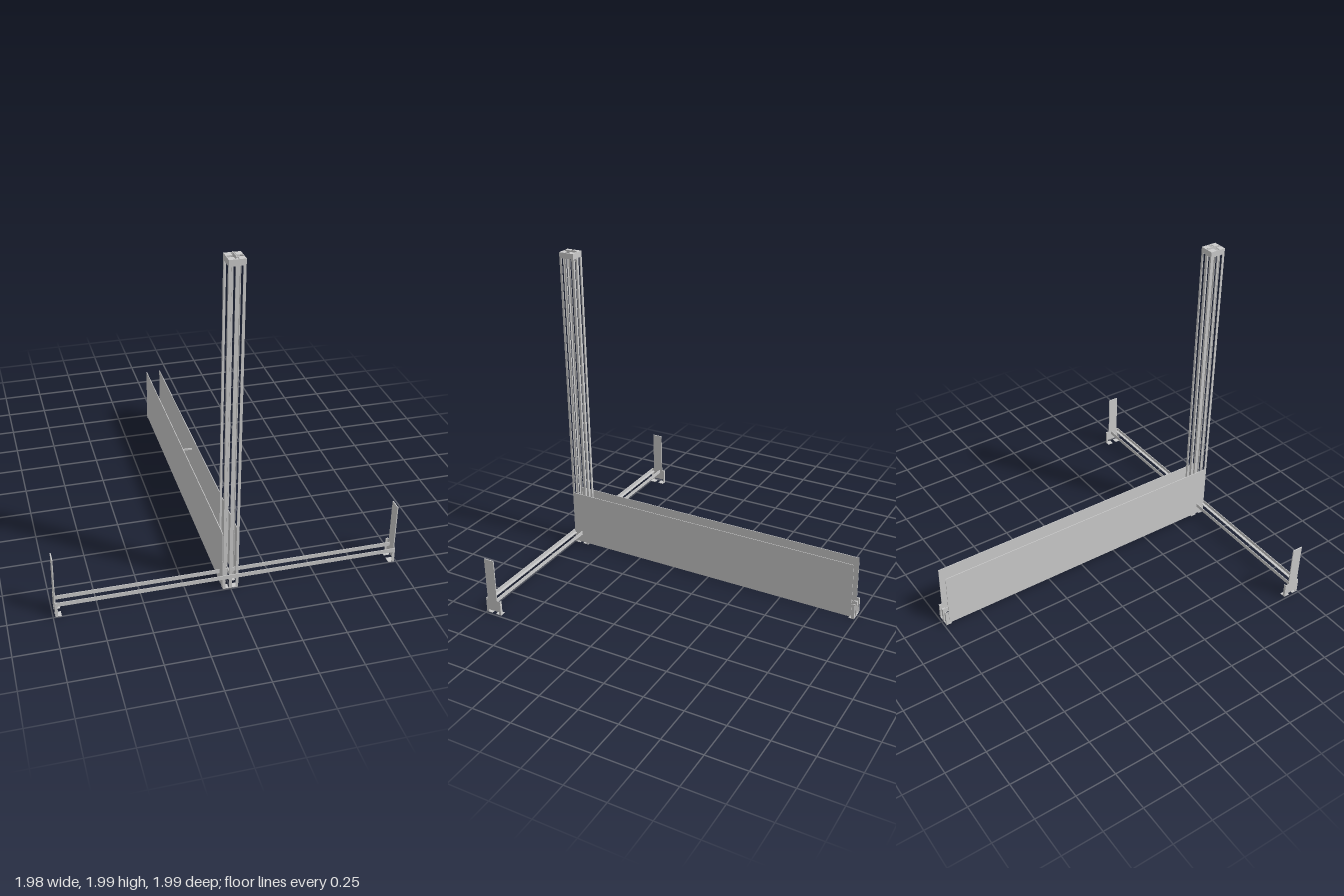
import * as THREE from 'three';

const T = 0.004; // sheet thickness
const material = new THREE.MeshStandardMaterial({ color: 0xcccccc });

// Box given by its minimum and maximum on each axis
function plate(parent, name, [x0, x1], [y0, y1], [z0, z1]) {
  const mesh = new THREE.Mesh(new THREE.BoxGeometry(x1 - x0, y1 - y0, z1 - z0), material);
  mesh.position.set((x0 + x1) / 2, (y0 + y1) / 2, (z0 + z1) / 2);
  mesh.name = name;
  parent.add(mesh);
}

// Range running from an edge inward; dir is the inward sign
const from = (edge, dir, size) => (dir > 0 ? [edge, edge + size] : [edge - size, edge]);

// Upright angle iron with its corner at (x, z) and flanges pointing along dx and dz
function angle(parent, name, x, z, dx, dz, y, fx = 0.015, fz = 0.015) {
  const group = new THREE.Group();
  group.name = name;
  plate(group, 'frontFlange', from(x, dx, fx), y, from(z, dz, T));
  plate(group, 'sideFlange', from(x, dx, T), y, from(z, dz, fz));
  parent.add(group);
}

export function createModel() {
  const model = new THREE.Group();
  model.name = 'towerFrame';

  // Mast: four corner angles, and two T posts in the middle of the front and back
  const mast = new THREE.Group();
  mast.name = 'mast';
  for (const [z, dz] of [[0.995, -1], [0.895, 1]]) {
    for (const s of [-1, 1]) {
      angle(mast, 'cornerPost', s * 0.045, z, -s, dz, [0, 1.985]);
      angle(mast, 'middlePost', 0, z, s, dz, [0, 1.985], 0.009);
      // cap and foot plates
      const depth = dz > 0 ? 0.04 : 0.035;
      plate(mast, 'capPlate', from(s * 0.045, -s, 0.035), [1.981, 1.985], from(z, dz, depth));
      plate(mast, 'footPlate', from(s * 0.045, -s, 0.035), [0, T], from(z, dz, depth));
    }
    plate(mast, 'capBand', [-0.045, 0.045], [1.95, 1.985], from(z, dz, T));
  }
  for (const s of [-1, 1])
    plate(mast, 'capSide', from(s * 0.045, -s, T), [1.95, 1.985], [0.895, 0.995]);
  plate(mast, 'capFin', [-0.002, 0.002], [1.95, 1.992], [0.9, 0.98]);
  model.add(mast);

  // Crossbar: front angle rail and thin back rail
  const crossbar = new THREE.Group();
  crossbar.name = 'crossbar';
  plate(crossbar, 'frontRail', [-0.985, 0.985], [0.07, 0.095], [0.996, 1]);
  plate(crossbar, 'frontRailFlange', [-0.985, 0.985], [0.07, 0.074], [0.98, 1]);
  plate(crossbar, 'backRail', [-0.985, 0.985], [0.07, 0.095], [0.934, 0.938]);
  model.add(crossbar);

  // Crossbar ends: bracket with feet and a tall end plate
  for (const s of [-1, 1]) {
    const end = new THREE.Group();
    end.name = s > 0 ? 'leftEnd' : 'rightEnd';
    for (const [z, dz] of [[0.998, -1], [0.895, 1]]) {
      angle(end, 'leg', s * 0.988, z, -s, dz, [0, 0.095]);
      plate(end, 'footPlate', from(s * 0.988, -s, 0.035), [0, T], from(z, dz, 0.038));
    }
    plate(end, 'bracketSide', from(s * 0.988, -s, T), [0.02, 0.095], [0.895, 0.998]);
    plate(end, 'endPlate', from(s * 0.988, -s, 0.006), [0.02, 0.37], [0.918, 0.985]);
    model.add(end);
  }

  // Long beam: two tall side panels, a low centre rail and a spacer rod
  const beam = new THREE.Group();
  beam.name = 'longBeam';
  for (const s of [-1, 1]) {
    plate(beam, 'sidePanel', from(s * 0.048, -s, T), [0.014, 0.37], [-0.968, 0.985]);
    // rear feet
    angle(beam, 'rearLeg', s * 0.045, -0.988, -s, 1, [0, 0.1], 0.015, 0.02);
    angle(beam, 'rearInnerLeg', 0, -0.988, s, 1, [0, 0.1], 0.009, 0.02);
    plate(beam, 'rearFoot', from(s * 0.045, -s, 0.035), [0, T], [-0.988, -0.953]);
  }
  plate(beam, 'centreRail', [-0.002, 0.002], [0.07, 0.095], [-0.988, 0.995]);
  plate(beam, 'spacerRod', [-0.045, 0.045], [0.274, 0.285], [-0.053, -0.047]);
  model.add(beam);

  return model;
}
